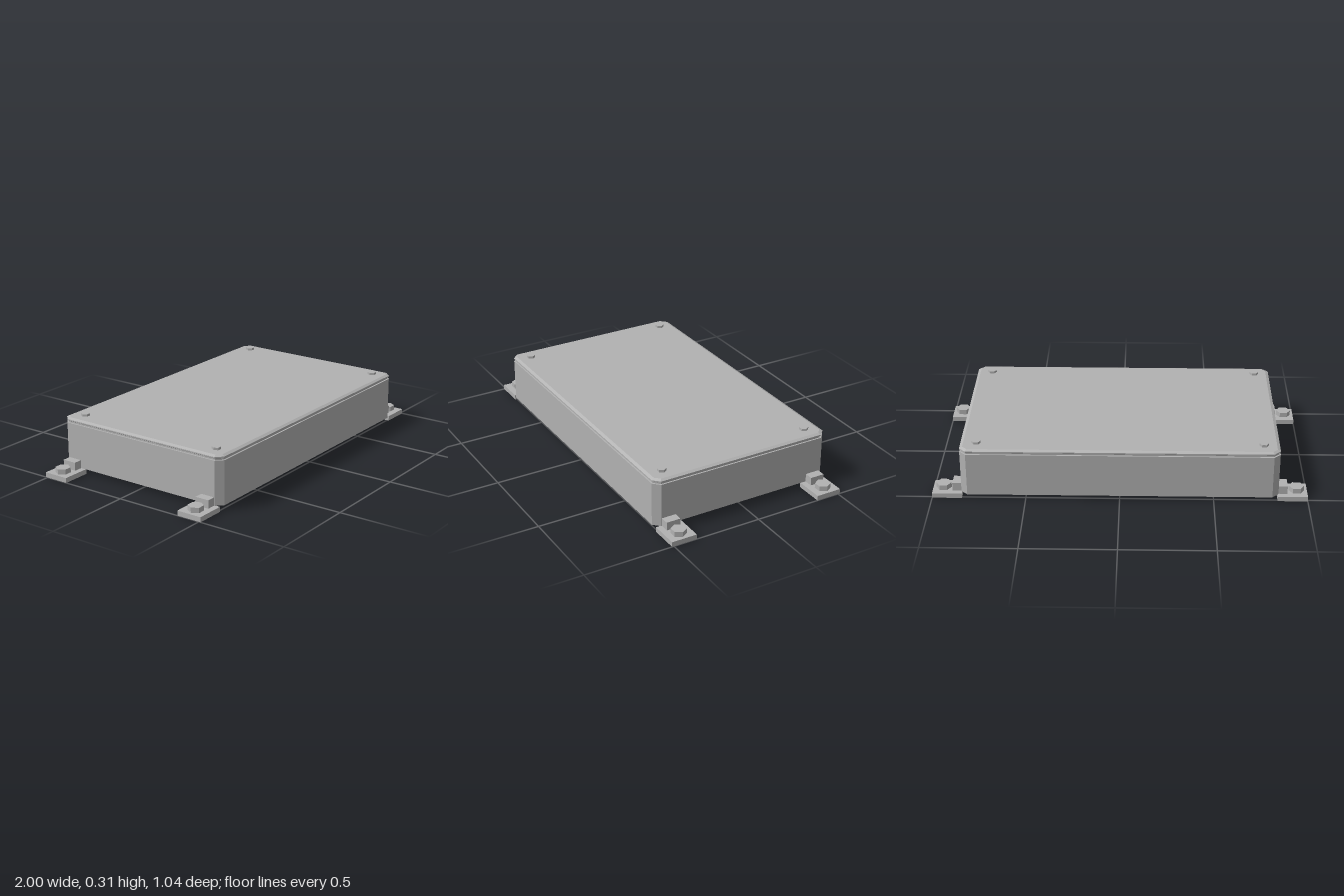
import * as THREE from 'three';

const HALF_X = 0.845, HALF_Z = 0.518, CHAMFER = 0.035;

// Rectangle outline with cut corners, shrunk evenly by inset
function outline(inset) {
  const x = HALF_X - inset, z = HALF_Z - inset;
  const c = CHAMFER - inset * (2 - Math.SQRT2);
  return [[x, z - c], [x, -z + c], [x - c, -z], [-x + c, -z],
    [-x, -z + c], [-x, z - c], [-x + c, z], [x - c, z]];
}

// Closed solid through stacked outlines; levels are [y, inset] from bottom to top
function slab(levels) {
  const rings = levels.map(([y, inset]) => outline(inset).map(([x, z]) => [x, y, z]));
  const pos = [];
  const tri = (a, b, c) => pos.push(...a, ...b, ...c);
  for (let k = 0; k < rings.length - 1; k++) {
    for (let i = 0; i < 8; i++) {
      const j = (i + 1) % 8, lo = rings[k], hi = rings[k + 1];
      tri(lo[i], lo[j], hi[j]);
      tri(lo[i], hi[j], hi[i]);
    }
  }
  const bottom = rings[0], top = rings[rings.length - 1];
  for (let i = 1; i < 7; i++) {
    tri(top[0], top[i], top[i + 1]);
    tri(bottom[0], bottom[i + 1], bottom[i]);
  }
  const geo = new THREE.BufferGeometry();
  geo.setAttribute('position', new THREE.Float32BufferAttribute(pos, 3));
  geo.computeVertexNormals();
  return geo;
}

export function createModel() {
  const model = new THREE.Group();
  model.name = 'enclosure';
  const metal = new THREE.MeshStandardMaterial({ color: 0xb2b2b2, flatShading: true });
  metal.name = 'grey metal';

  const add = (name, geo, x = 0, y = 0, z = 0, parent = model) => {
    const mesh = new THREE.Mesh(geo, metal);
    mesh.name = name;
    mesh.position.set(x, y, z);
    parent.add(mesh);
    return mesh;
  };

  // Box, recessed seal and bevelled lid
  add('body', slab([[0.027, 0], [0.267, 0]]));
  add('seal', slab([[0.267, 0.008], [0.276, 0.008]]));
  add('lid', slab([[0.276, 0.006], [0.28, 0], [0.286, 0], [0.293, 0.016]]));

  // Hex heads with corners pointing along x
  const hex = (r, h) => new THREE.CylinderGeometry(r, r, h, 6).rotateY(Math.PI / 2);
  const screwGeo = hex(0.024, 0.013);
  const boltGeo = hex(0.041, 0.028);
  const plateGeo = new THREE.BoxGeometry(0.16, 0.027, 0.143);
  const blockGeo = new THREE.BoxGeometry(0.052, 0.045, 0.079);

  for (const sx of [-1, 1]) {
    for (const sz of [-1, 1]) {
      // Lid screw
      add('lidScrew', screwGeo, sx * 0.76, 0.2995, sz * 0.432);

      // Mounting foot: plate, block against the wall, bolt
      const foot = new THREE.Group();
      foot.name = 'mountingFoot';
      model.add(foot);
      add('footPlate', plateGeo, sx * 0.92, 0.0135, sz * 0.4395, foot);
      add('footBlock', blockGeo, sx * 0.867, 0.0495, sz * 0.4395, foot);
      add('footBolt', boltGeo, sx * 0.943, 0.041, sz * 0.4395, foot);
    }
  }
  return model;
}
